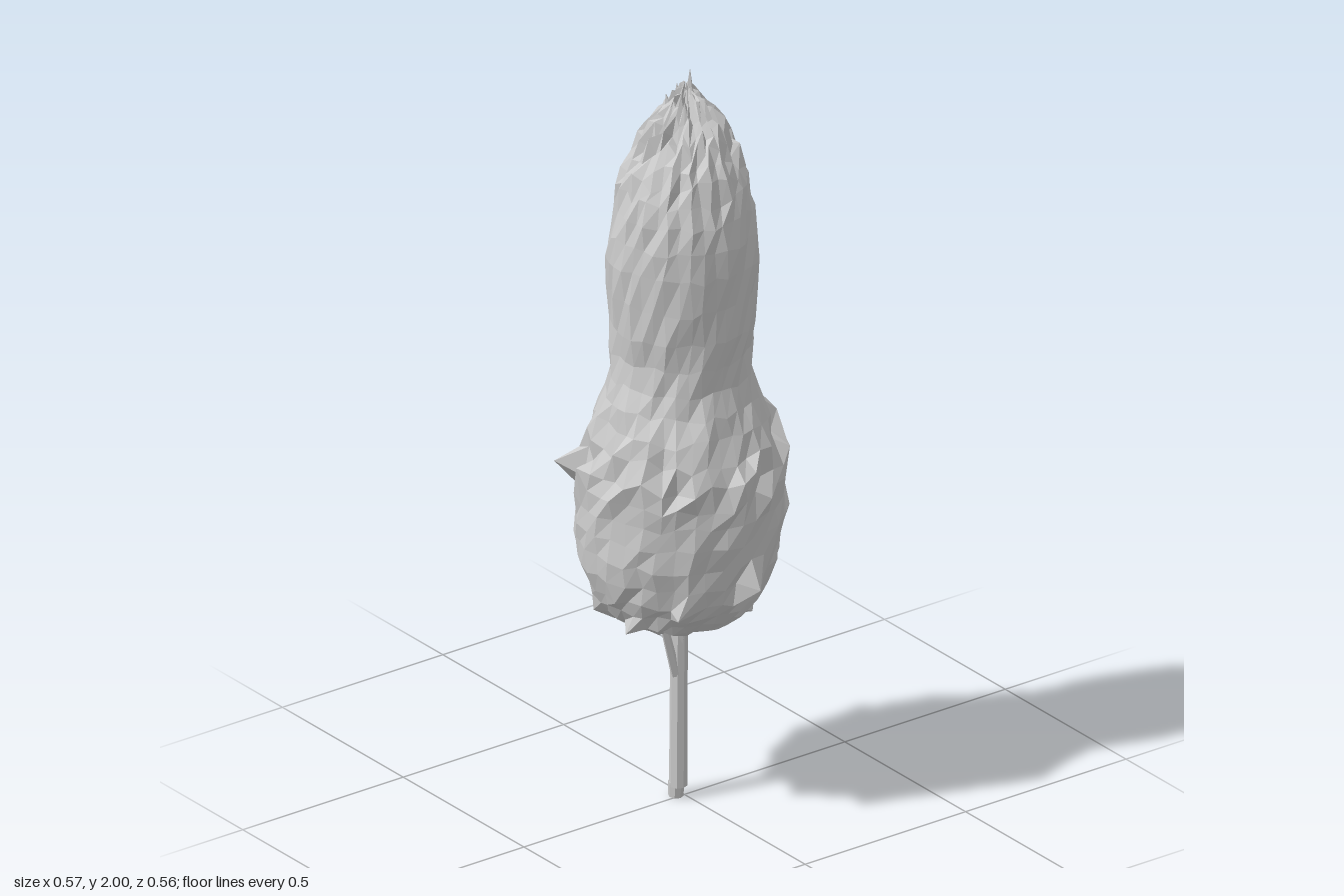
import * as THREE from 'three';

// Small seeded generator for the ragged leaf surface
function makeRandom(seed) {
  let s = seed;
  return () => {
    s = (s + 0x6d2b79f5) | 0;
    let t = Math.imul(s ^ (s >>> 15), 1 | s);
    t = (t + Math.imul(t ^ (t >>> 7), 61 | t)) ^ t;
    return ((t ^ (t >>> 14)) >>> 0) / 4294967296;
  };
}

const material = new THREE.MeshStandardMaterial({
  color: 0xcccccc, flatShading: true, side: THREE.DoubleSide,
});

// Crown profile from hollow underside to tip: [y, radius, centre x, centre z]
const PROFILE = [
  [0.55, 0.025, -0.02, 0], [0.52, 0.08, -0.015, 0], [0.505, 0.135, -0.01, -0.01],
  [0.545, 0.19, -0.012, -0.012], [0.62, 0.233, -0.014, -0.008], [0.73, 0.258, -0.012, -0.01],
  [0.85, 0.263, -0.008, -0.003], [0.96, 0.247, -0.01, 0.006], [1.07, 0.213, -0.012, 0.005],
  [1.18, 0.178, -0.008, -0.004], [1.32, 0.18, -0.006, -0.005], [1.5, 0.189, -0.004, -0.002],
  [1.64, 0.173, -0.004, 0], [1.74, 0.146, -0.002, -0.003], [1.82, 0.108, 0.004, -0.005],
  [1.88, 0.068, 0.006, -0.005], [1.93, 0.028, 0.006, -0.004], [1.95, 0.006, 0.008, -0.003],
];

// Leaf tufts that stand out from the crown: [direction x, direction z, y, radius]
const TUFTS = [
  [0.29, -0.05, 0.94, 0.295], [0.285, 0, 0.86, 0.285], [0.275, 0.055, 0.9, 0.285],
  [0.23, -0.15, 0.98, 0.275], [0.21, 0.15, 0.8, 0.262], [-0.02, 0.28, 0.97, 0.28],
  [0.03, 0.28, 0.66, 0.278], [-0.28, -0.19, 0.93, 0.325], [-0.27, -0.08, 0.95, 0.288],
  [0.05, -0.28, 0.74, 0.285], [-0.11, -0.26, 0.66, 0.28], [-0.23, 0.06, 0.53, 0.235],
  [-0.2, -0.1, 0.53, 0.23], [-0.17, 0.2, 0.6, 0.26], [0.14, 0.09, 0.5, 0.17],
];

function createCrown() {
  const rand = makeRandom(29);
  const jitter = (a) => (rand() - 0.5) * 2 * a;
  const segments = 36, rows = 34;
  const curve = new THREE.CatmullRomCurve3(PROFILE.map(([y, r]) => new THREE.Vector3(r, y, 0)));
  const offset = new THREE.CatmullRomCurve3(PROFILE.map(([, , x, z]) => new THREE.Vector3(x, 0, z)));
  const positions = [], index = [];

  for (let j = 0; j <= rows; j++) {
    const t = j / rows;
    const p = curve.getPoint(t), c = offset.getPoint(t);
    const top = THREE.MathUtils.smoothstep(p.y, 1.6, 1.85);
    const tuftBand = Math.exp(-(((p.y - 0.97) / 0.1) ** 2));
    const rough = Math.min(0.007 + 0.014 * tuftBand, p.x * 0.2);
    for (let i = 0; i < segments; i++) {
      const a = ((i + jitter(0.2)) / segments) * Math.PI * 2;
      const pleat = (i % 2 ? 1 : -1) * 0.08 * top * p.x;
      const r = p.x + pleat + jitter(rough);
      const y = p.y + jitter(0.008 + 0.014 * tuftBand + 0.016 * top);
      positions.push(c.x + Math.sin(a) * r, y, c.z + Math.cos(a) * r);
    }
  }

  // Pull the nearest vertex out to each tuft point
  for (const [dx, dz, y, radius] of TUFTS) {
    const d = Math.hypot(dx, dz);
    const target = new THREE.Vector3((dx / d) * radius, y, (dz / d) * radius);
    const v = new THREE.Vector3();
    let best = 0, bestDistance = Infinity;
    for (let k = 0; k < positions.length; k += 3) {
      const distance = v.fromArray(positions, k).distanceTo(target);
      if (distance < bestDistance) { bestDistance = distance; best = k; }
    }
    target.toArray(positions, best);
  }

  for (let j = 0; j < rows; j++) {
    for (let i = 0; i < segments; i++) {
      const n = (i + 1) % segments;
      const a = j * segments + i, b = j * segments + n;
      index.push(a, b, b + segments, a, b + segments, a + segments);
    }
  }
  const geometry = new THREE.BufferGeometry();
  geometry.setAttribute('position', new THREE.Float32BufferAttribute(positions, 3));
  geometry.setIndex(index);
  geometry.computeVertexNormals();
  return geometry;
}

export function createModel() {
  const group = new THREE.Group();
  const add = (name, geometry) => {
    const mesh = new THREE.Mesh(geometry, material);
    mesh.name = name;
    group.add(mesh);
    return mesh;
  };
  const rod = (name, from, to, r0, r1, sides) => {
    const a = new THREE.Vector3(...from), b = new THREE.Vector3(...to);
    const dir = b.clone().sub(a);
    const mesh = add(name, new THREE.CylinderGeometry(r1, r0, dir.length(), sides, 3));
    mesh.position.copy(a).add(b).multiplyScalar(0.5);
    mesh.quaternion.setFromUnitVectors(new THREE.Vector3(0, 1, 0), dir.normalize());
  };

  add('crown', createCrown());

  // Pointed leaves gathered at the tip: [x, z, tip y, lean x, lean z]
  const tips = [
    [0.014, 0, 2, 0.002, 0.002], [-0.02, 0.012, 1.94, -0.006, 0.01], [0.035, -0.015, 1.93, 0.012, -0.01],
    [-0.025, -0.02, 1.935, -0.01, -0.01], [0.01, 0.035, 1.93, 0, 0.012], [0.005, -0.03, 1.95, 0, -0.008],
  ];
  for (const [x, z, y, lx, lz] of tips) {
    rod('tipLeaf', [x, 1.84, z], [x + lx, y, z + lz], 0.028, 0.001, 4);
  }

  // Trunk with its foot and the short branches entering the crown
  rod('trunk', [-0.018, 0.03, -0.002], [-0.014, 0.6, -0.002], 0.023, 0.022, 8);
  rod('trunkFoot', [-0.021, 0, -0.008], [-0.02, 0.04, -0.006], 0.019, 0.021, 8);
  rod('branch', [-0.028, 0.34, 0.002], [-0.085, 0.54, 0.012], 0.013, 0.01, 5);
  rod('branch', [-0.012, 0.41, -0.005], [0.035, 0.54, -0.03], 0.012, 0.008, 5);
  rod('branch', [-0.02, 0.42, 0.005], [-0.015, 0.55, 0.03], 0.012, 0.008, 5);
  return group;
}
